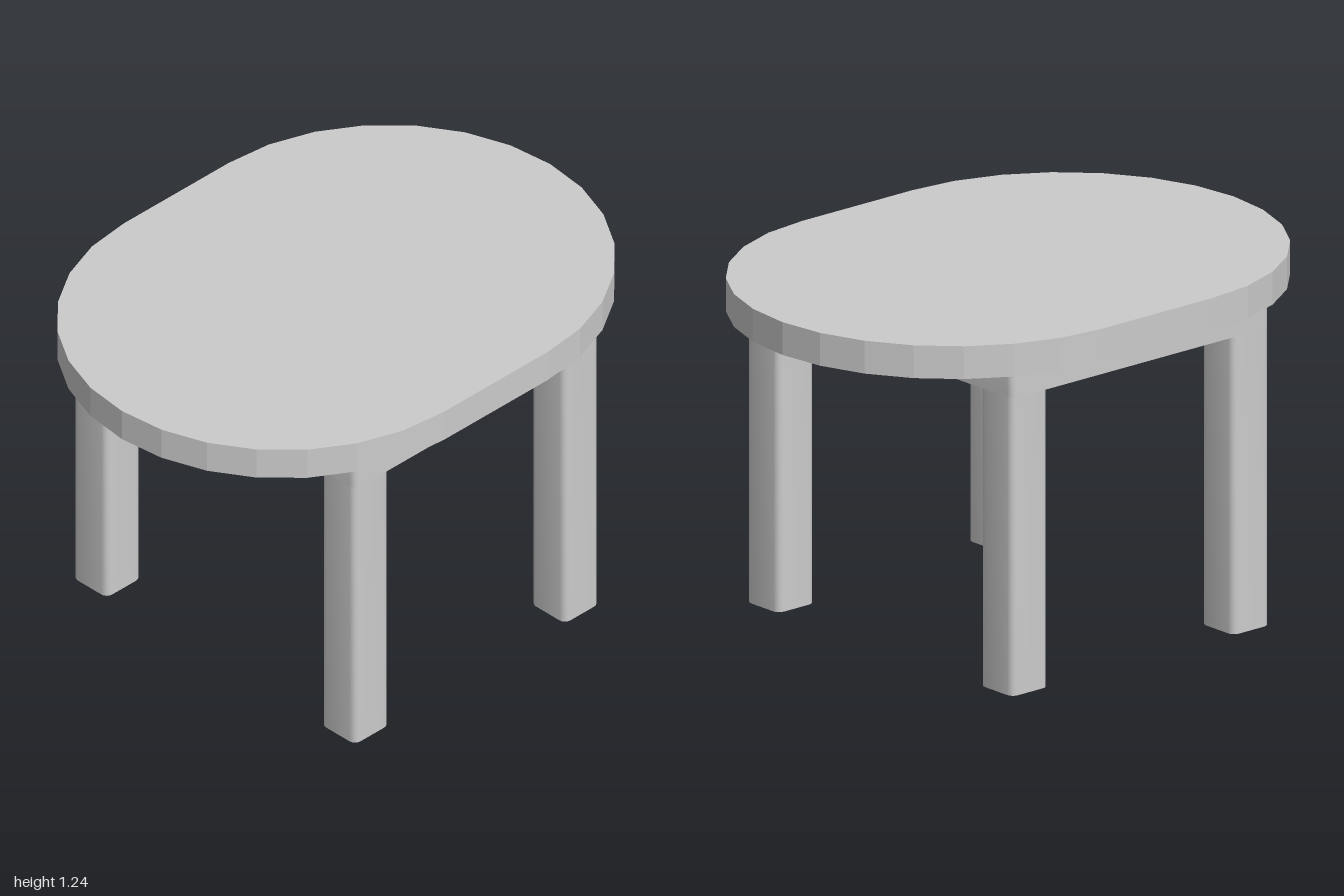
import * as THREE from 'three';
import { toCreasedNormals } from 'three/addons/utils/BufferGeometryUtils.js';

const material = new THREE.MeshStandardMaterial({ color: 0xcccccc });

// Rounded rectangle centred on the origin; r = half the width gives a stadium
function roundedRect(w, h, r) {
  const x = w / 2 - r, y = h / 2 - r, q = Math.PI / 2;
  const s = new THREE.Shape();
  [[x, y], [-x, y], [-x, -y], [x, -y]].forEach(([cx, cy], i) =>
    s.absarc(cx, cy, r, i * q, (i + 1) * q, false));
  return s;
}

// Upright prism of a plan outline between two heights
function prism(name, shape, y0, y1, curveSegments, crease) {
  let geo = new THREE.ExtrudeGeometry(shape, { depth: y1 - y0, bevelEnabled: false, curveSegments });
  geo.rotateX(-Math.PI / 2);
  if (crease) geo = toCreasedNormals(geo, crease);
  const mesh = new THREE.Mesh(geo, material);
  mesh.name = name;
  mesh.position.y = y0;
  return mesh;
}

export function createModel() {
  const group = new THREE.Group();
  group.name = 'table';

  // Faceted oval top: two half circles joined by straight sides
  const R = 0.755, straight = 0.245;
  const oval = new THREE.Shape();
  oval.absarc(0, straight, R, 0, Math.PI, false);
  oval.absarc(0, -straight, R, Math.PI, 2 * Math.PI, false);
  group.add(prism('tableTop', oval, 1.125, 1.24, 7));

  // Solid apron slab, flush with the outer faces of the legs
  const legX = 0.587, legZ = 0.49, legSize = 0.162, r = 0.025;
  group.add(prism('apron',
    roundedRect(2 * legX + legSize, 2 * legZ + legSize, r), 1.043, 1.125, 2, 0.5));

  // Four square legs with softened corners
  for (const [side, sx] of [['Left', 1], ['Right', -1]]) {
    for (const [end, sz] of [['front', 1], ['back', -1]]) {
      const leg = prism(`${end}${side}Leg`, roundedRect(legSize, legSize, r), 0, 1.043, 2, 0.5);
      leg.position.x = sx * legX;
      leg.position.z = sz * legZ;
      group.add(leg);
    }
  }
  return group;
}
